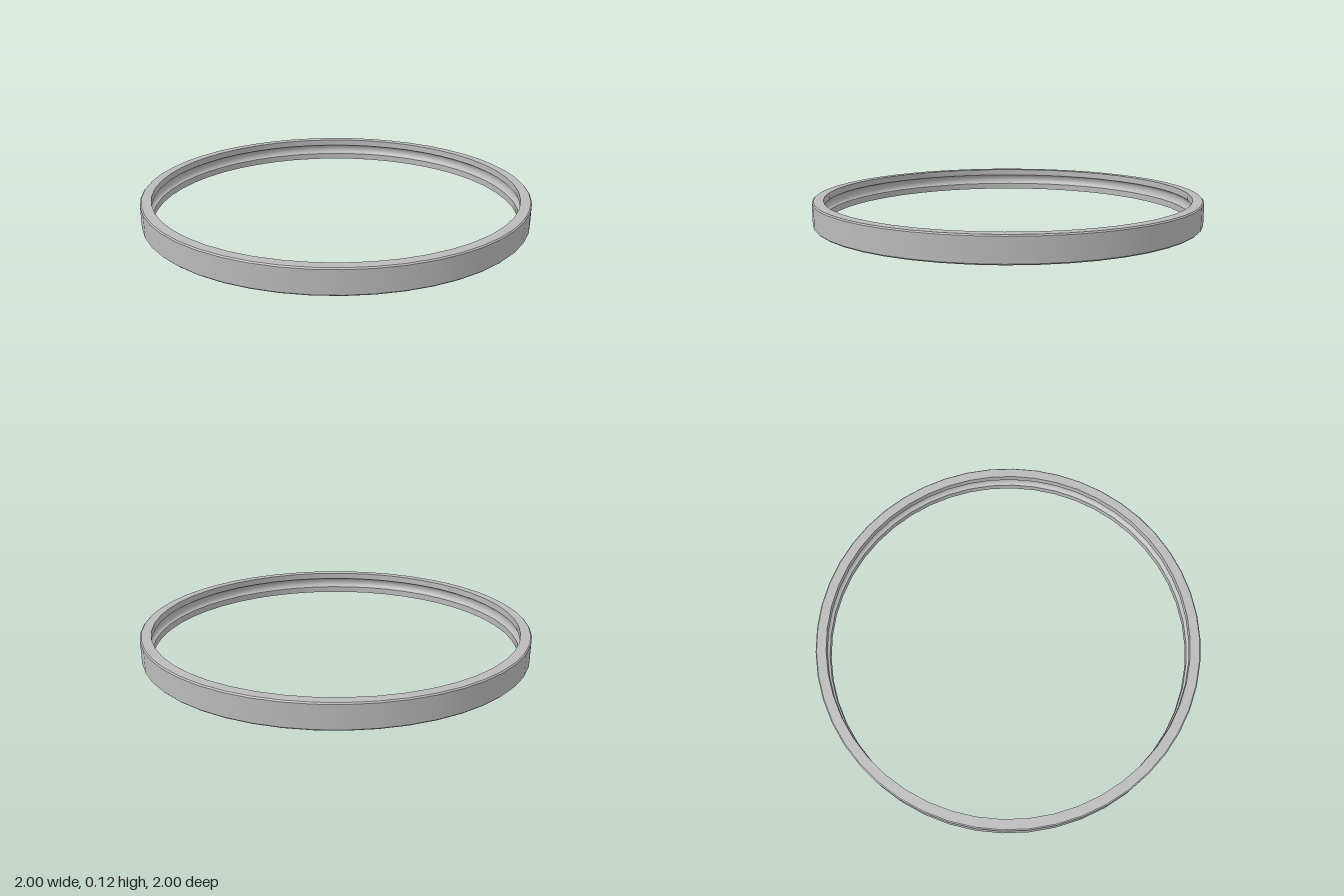
import * as THREE from 'three';

const SEGMENTS = 48;
const HEIGHT = 0.125;
const OUTER = 1;
const INNER = 0.945;
const CHAMFER = 0.006;

export function createModel() {
  const group = new THREE.Group();
  group.name = 'bearingRing';
  const steel = new THREE.MeshStandardMaterial({ color: 0xbababa });
  steel.name = 'steel grey';

  // Each surface is its own lathe strip, so edges between strips stay sharp
  const strip = (name, points) => {
    const profile = points.map(([r, y]) => new THREE.Vector2(r, y));
    const mesh = new THREE.Mesh(new THREE.LatheGeometry(profile, SEGMENTS), steel);
    mesh.name = name;
    group.add(mesh);
  };

  // Outer wall with small chamfers
  strip('lowerChamfer', [[OUTER - CHAMFER, 0], [OUTER, CHAMFER]]);
  strip('outerWall', [[OUTER, CHAMFER], [OUTER, HEIGHT - CHAMFER]]);
  strip('upperChamfer', [[OUTER, HEIGHT - CHAMFER], [OUTER - CHAMFER, HEIGHT]]);

  // Flat rims
  strip('topRim', [[OUTER - CHAMFER, HEIGHT], [INNER, HEIGHT]]);
  strip('bottomRim', [[INNER, 0], [OUTER - CHAMFER, 0]]);

  // Inner lands either side of the rounded ball groove
  const middle = HEIGHT / 2;
  const half = 0.028;
  const depth = 0.022;
  strip('upperLand', [[INNER, HEIGHT], [INNER, middle + half]]);
  strip('lowerLand', [[INNER, middle - half], [INNER, 0]]);

  const groove = [];
  for (let i = 0; i <= 10; i++) {
    const a = (i / 10) * Math.PI;
    groove.push([INNER + depth * Math.sin(a), middle + half * Math.cos(a)]);
  }
  strip('ballGroove', groove);

  return group;
}
